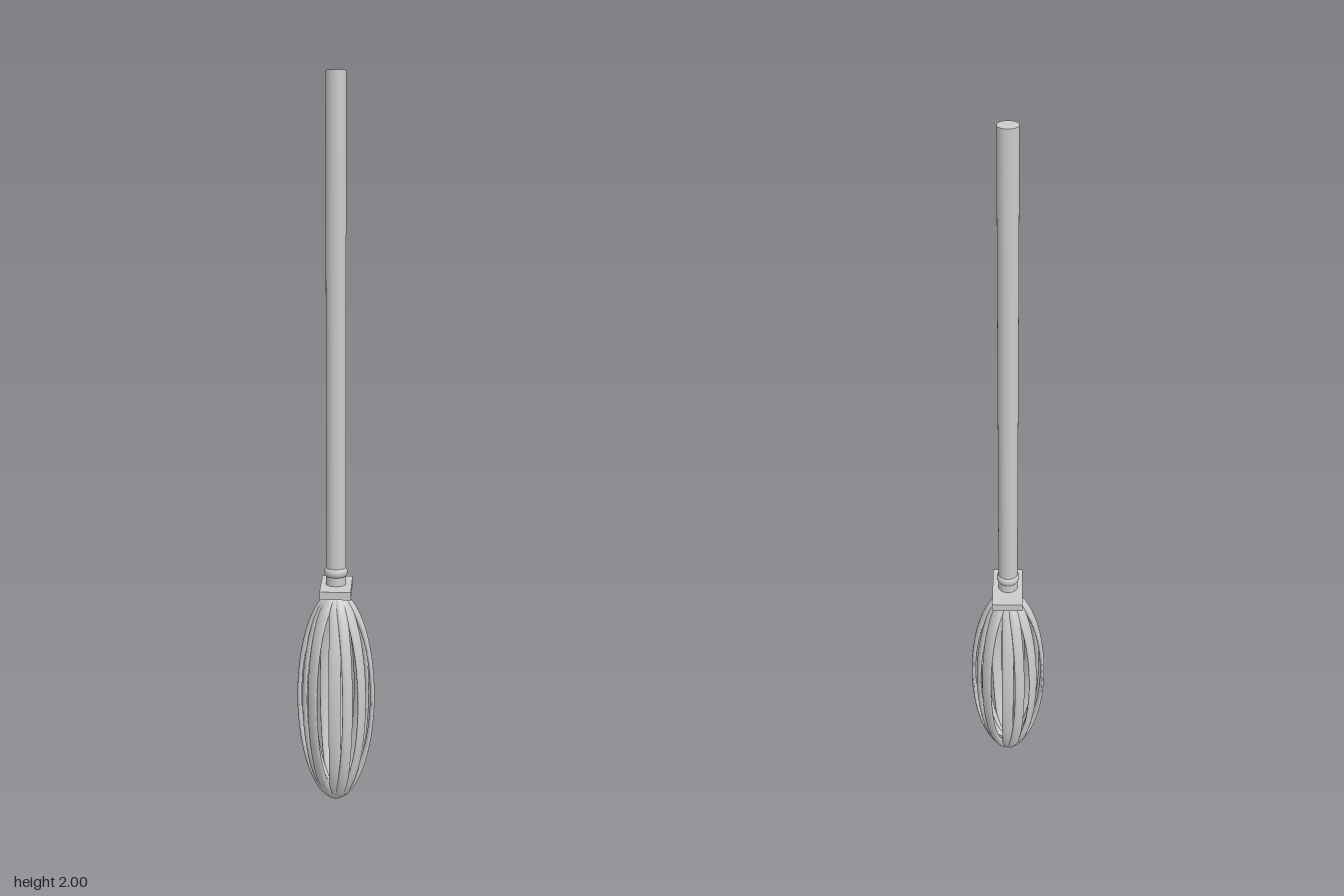
import * as THREE from 'three';

const grey = new THREE.MeshStandardMaterial({ color: 0xcccccc });

function add(parent, name, geometry, x, y, z) {
  const mesh = new THREE.Mesh(geometry, grey);
  mesh.name = name;
  mesh.position.set(x, y, z);
  parent.add(mesh);
  return mesh;
}

export function createModel() {
  const model = new THREE.Group();
  model.name = 'whisk';

  // Long round handle, standing on the plate
  add(model, 'handle', new THREE.CylinderGeometry(0.027, 0.027, 1.39, 32), 0, 1.305, 0);

  // Rounded collar near the foot of the handle
  const collar = add(model, 'collar', new THREE.TorusGeometry(0.015, 0.017, 16, 32), 0, 0.667, 0);
  collar.rotation.x = Math.PI / 2;

  // Rectangular guard plate
  add(model, 'guardPlate', new THREE.BoxGeometry(0.085, 0.022, 0.159), 0.001, 0.62, -0.001);

  // Flattened ring loops forming the cage: [angle towards +z, outer radius, half width]
  const loops = [
    [0, 0.108, 0.018],
    [14, 0.082, 0.014],
    [35.5, 0.096, 0.018],
    [67, 0.096, 0.015],
    [90, 0.087, 0.017],
    [-47, 0.096, 0.018],
    [-23, 0.098, 0.012],
  ];
  const tube = 0.018;
  const outer = 0.306;
  const ring = new THREE.TorusGeometry(outer - tube, tube, 14, 64);
  const cage = new THREE.Group();
  cage.name = 'cage';
  cage.position.y = outer;
  model.add(cage);
  for (const [angle, radius, halfWidth] of loops) {
    const loop = add(cage, 'cageLoop', ring, 0, 0, 0);
    loop.scale.set(radius / outer, 1, halfWidth / tube);
    loop.rotation.y = -THREE.MathUtils.degToRad(angle);
  }

  return model;
}
